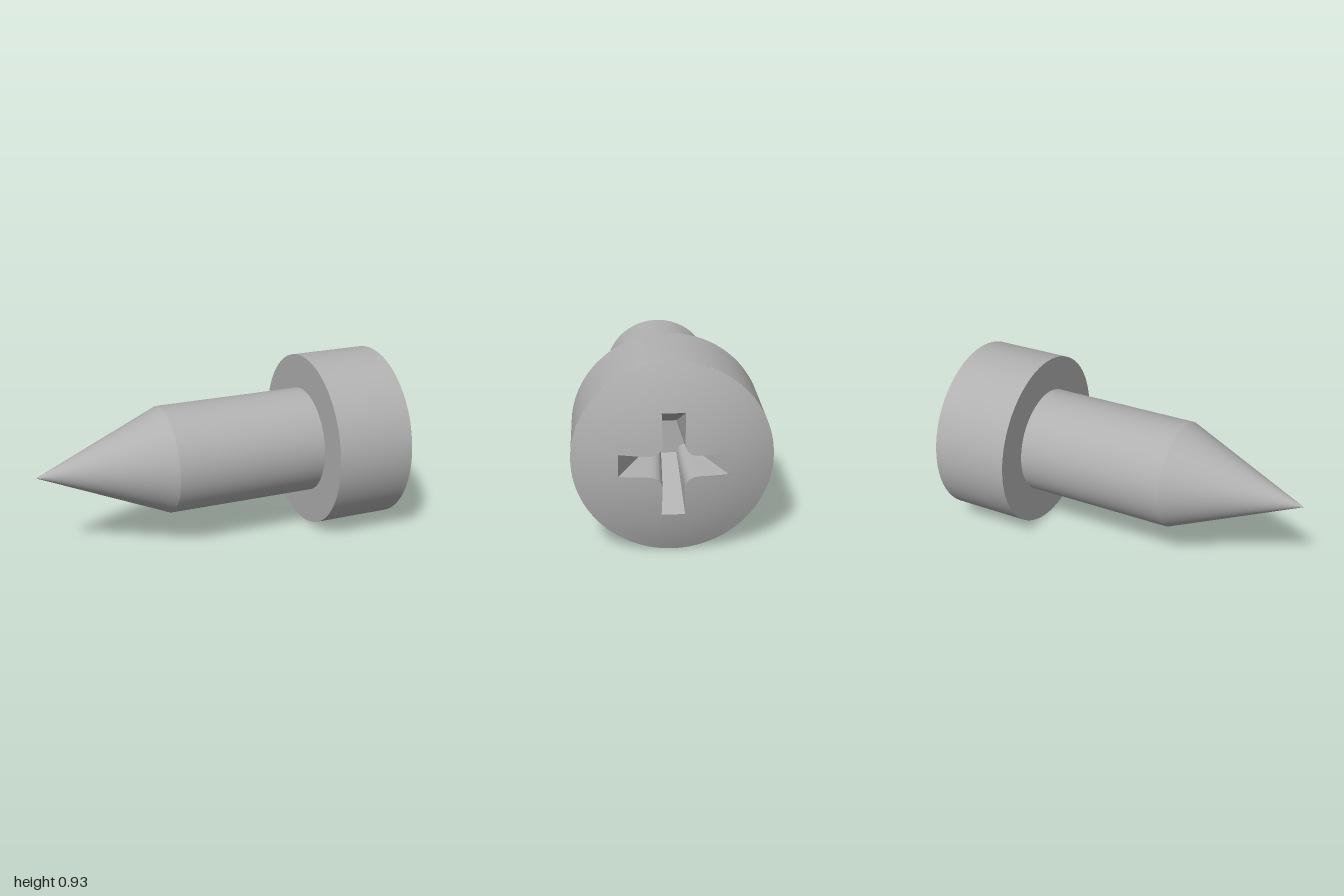
import * as THREE from 'three';
import { toCreasedNormals } from 'three/addons/utils/BufferGeometryUtils.js';

const HEAD_R = 0.466, SHANK_R = 0.283, DOME_R = 1.136;
const RIM_X = 0.9, SHOULDER_X = 0.482, TIP_START = -0.325, FLOOR_X = 0.65;
const CREASE = 0.3;

// Height of the domed face at a given radius
const domeY = (r) => 1 - DOME_R + Math.sqrt(DOME_R * DOME_R - r * r);

// Outline of a cross with rounded inner corners, as [u, v] points
function crossOutline(reach, endHalf, neckHalf, neckReach, control) {
  const quarter = [];
  for (let i = 0; i < 8; i++) quarter.push([endHalf * (i / 4 - 1), reach]);
  for (let i = 0; i < 3; i++) {
    const t = i / 3;
    quarter.push([endHalf + (neckHalf - endHalf) * t, reach + (neckReach - reach) * t]);
  }
  for (let i = 0; i < 12; i++) {
    const t = i / 12, a = (1 - t) ** 2, b = 2 * t * (1 - t), c = t * t;
    quarter.push([
      a * neckHalf + b * control + c * neckReach,
      a * neckReach + b * control + c * neckHalf,
    ]);
  }
  for (let i = 0; i < 3; i++) {
    const t = i / 3;
    quarter.push([neckReach + (reach - neckReach) * t, neckHalf + (endHalf - neckHalf) * t]);
  }
  const points = [];
  for (let q = 0; q < 4; q++) {
    for (const [u, v] of quarter) {
      const c = Math.round(Math.cos(q * Math.PI / 2)), s = Math.round(Math.sin(q * Math.PI / 2));
      points.push([u * c + v * s, v * c - u * s]);
    }
  }
  return points;
}

// Skin closed rings of [x, y, z] points, each with the same count
function loft(rings) {
  const n = rings[0].length, index = [];
  for (let j = 0; j < rings.length - 1; j++) {
    for (let i = 0; i < n; i++) {
      const a = j * n + i, b = j * n + (i + 1) % n;
      index.push(a, b, a + n, b + n, a + n, b);
    }
  }
  const geometry = new THREE.BufferGeometry();
  geometry.setAttribute('position', new THREE.Float32BufferAttribute(rings.flat(2), 3));
  geometry.setIndex(index);
  return toCreasedNormals(geometry, CREASE);
}

function lathe(profile) {
  const points = profile.map(([r, y]) => new THREE.Vector2(r, y));
  return toCreasedNormals(new THREE.LatheGeometry(points, 104), CREASE);
}

export function createModel() {
  const steel = new THREE.MeshStandardMaterial({ color: 0xb0b0b0 });
  steel.name = 'steel grey';

  // The screw is built along y, then laid over so its head points to +x
  const screw = new THREE.Group();
  screw.name = 'screw';
  const add = (name, geometry) => {
    const mesh = new THREE.Mesh(geometry, steel);
    mesh.name = name;
    screw.add(mesh);
  };

  add('tip', lathe([[0, -1], [SHANK_R, TIP_START]]));
  add('shank', lathe([[SHANK_R, TIP_START], [SHANK_R, SHOULDER_X]]));
  add('head', lathe([[SHANK_R, SHOULDER_X], [HEAD_R, SHOULDER_X], [HEAD_R, RIM_X]]));

  // Domed face, running from the outer edge in to the cross-shaped rim
  const rim = crossOutline(0.25, 0.054, 0.051, 0.115, 0.052);
  const domeRings = [];
  const steps = 6;
  for (let k = 0; k <= steps; k++) {
    domeRings.push(rim.map(([u, v]) => {
      const inner = Math.hypot(u, v);
      const r = HEAD_R + (inner - HEAD_R) * k / steps;
      return [u / inner * r, domeY(r), v / inner * r];
    }));
  }
  add('domedFace', loft(domeRings));

  // Tapered cross recess and its flat floor
  const floor = crossOutline(0.083, 0.037, 0.0375, 0.08, 0.043);
  add('driveRecess', loft([
    domeRings[steps],
    floor.map(([u, v]) => [u, FLOOR_X, v]),
    floor.map(() => [0, FLOOR_X, 0]),
  ]));

  screw.rotation.z = -Math.PI / 2;
  screw.position.y = HEAD_R;
  const model = new THREE.Group();
  model.name = 'crossHeadScrew';
  model.add(screw);
  return model;
}
